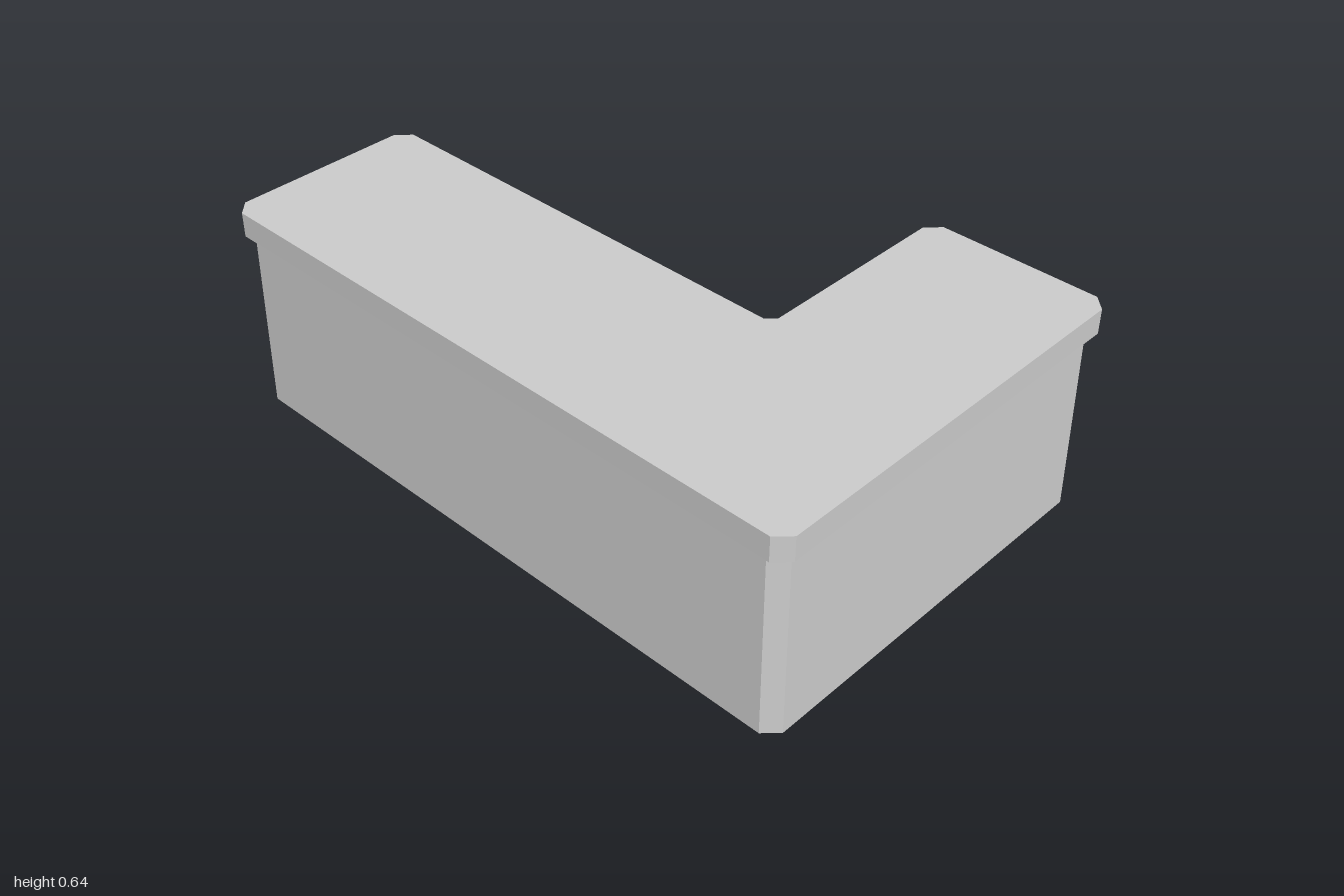
import * as THREE from 'three';

const SLAB_BOTTOM = 0.565, SLAB_TOP = 0.64, WALL = 0.018;

// Offsets an open polyline sideways with mitred joints
function offsetPath(pts, d) {
  const normal = (a, b) => new THREE.Vector2(-(b.y - a.y), b.x - a.x).normalize();
  return pts.map((p, i) => {
    const n1 = normal(pts[Math.max(i - 1, 0)], pts[Math.max(i, 1)]);
    const last = pts.length - 1;
    const n2 = normal(pts[Math.min(i, last - 1)], pts[Math.min(i + 1, last)]);
    const m = n1.clone().add(n2).normalize();
    return p.clone().addScaledVector(m, d / m.dot(n1));
  });
}

// Upright prism over an (x, z) outline
function prism(points, bottom, top) {
  const geo = new THREE.ExtrudeGeometry(new THREE.Shape(points), { depth: top - bottom, bevelEnabled: false });
  geo.rotateX(Math.PI / 2);
  geo.translate(0, top, 0);
  return geo;
}

const toPoints = (list) => list.map(([x, z]) => new THREE.Vector2(x, z));

export function createModel() {
  const group = new THREE.Group();
  const material = new THREE.MeshStandardMaterial({ color: 0xcccccc, flatShading: true });
  const add = (name, geo) => {
    const mesh = new THREE.Mesh(geo, material);
    mesh.name = name;
    group.add(mesh);
  };

  // L-shaped worktop with clipped corners
  add('counterTop', prism(toPoints([
    [-1, 0.065], [-0.96, 0.025], [0.405, 0.025], [0.43, 0],
    [0.43, -0.6], [0.47, -0.64], [0.955, -0.64], [0.995, -0.6],
    [0.995, 0.595], [0.955, 0.635], [-0.96, 0.635], [-1, 0.595],
  ]), SLAB_BOTTOM, SLAB_TOP));

  // Thin wall following the worktop, open along the long inner side
  const outer = toPoints([
    [0.42, 0.045], [0.45, 0.015], [0.45, -0.58], [0.49, -0.62],
    [0.93, -0.62], [0.97, -0.58], [0.97, 0.575], [0.93, 0.615],
    [-0.94, 0.615], [-0.98, 0.575], [-0.98, 0.085], [-0.94, 0.045],
  ]);
  const walls = prism([...outer, ...offsetPath(outer, WALL).reverse()], 0, SLAB_BOTTOM);

  // Walls flare slightly towards the floor
  const pos = walls.attributes.position;
  for (let i = 0; i < pos.count; i++) {
    const s = 1 + 0.008 * (1 - pos.getY(i) / SLAB_BOTTOM);
    pos.setX(i, pos.getX(i) * s);
    pos.setZ(i, pos.getZ(i) * s);
  }
  walls.computeVertexNormals();
  add('counterWalls', walls);

  return group;
}
